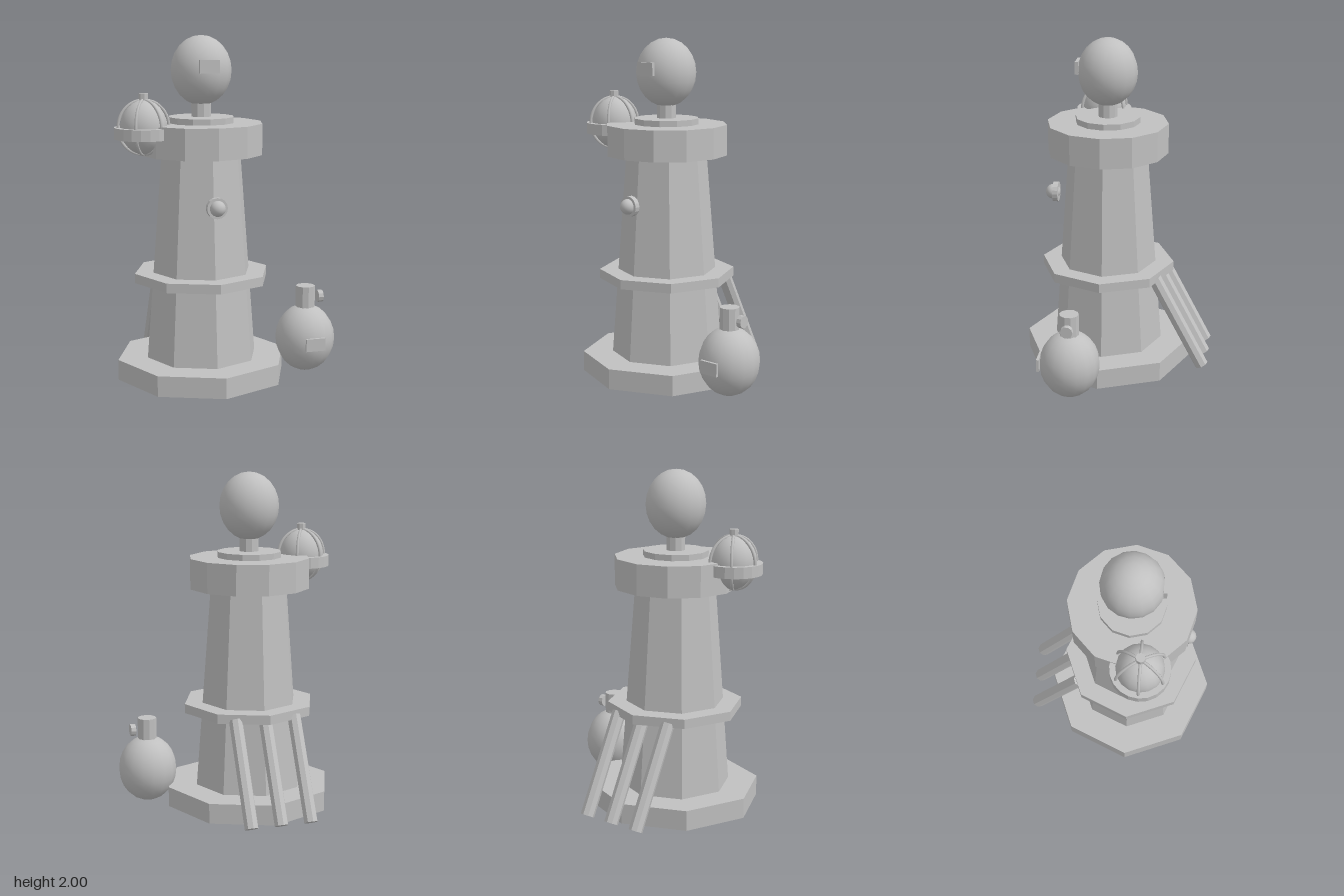
import * as THREE from 'three';

export function createModel() {
  const model = new THREE.Group();
  const stone = new THREE.MeshStandardMaterial({ color: 0xc0c0c0 });
  stone.name = 'pale grey';

  const add = (parent, name, geometry, x, y, z) => {
    const mesh = new THREE.Mesh(geometry, stone);
    mesh.name = name;
    mesh.position.set(x, y, z);
    parent.add(mesh);
    return mesh;
  };
  const group = (name, x, y, z) => {
    const g = new THREE.Group();
    g.name = name;
    g.position.set(x, y, z);
    model.add(g);
    return g;
  };
  // Faceted upright prism between two heights; vertex normals kept per face
  const prism = (parent, name, rTop, rBottom, y0, y1, sides) => {
    const geo = new THREE.CylinderGeometry(rTop, rBottom, y1 - y0, sides).toNonIndexed();
    geo.computeVertexNormals();
    return add(parent, name, geo, 0, (y0 + y1) / 2, 0);
  };
  // Smooth egg-shaped ball
  const ball = (parent, name, r, ry, y) =>
    add(parent, name, new THREE.SphereGeometry(r, 16, 12).scale(1, ry / r, 1), 0, y, 0);

  // Tower: stacked prisms with a corner facing the front
  const tower = group('tower', -0.13, 0, 0.065);
  prism(tower, 'base', 0.507, 0.507, 0, 0.12, 8);
  prism(tower, 'shaft', 0.238, 0.33, 0.12, 1.32, 8);
  prism(tower, 'band', 0.402, 0.402, 0.575, 0.63, 8);
  prism(tower, 'gallery', 0.36, 0.36, 1.32, 1.5, 12);
  prism(tower, 'topDisc', 0.192, 0.192, 1.5, 1.535, 12);
  prism(tower, 'topNeck', 0.057, 0.057, 1.535, 1.63, 10);
  ball(tower, 'topBall', 0.176, 0.2, 1.8);
  add(tower, 'topPlate', new THREE.BoxGeometry(0.118, 0.075, 0.02), 0, 1.828, 0.175);

  // Round lamp in front of the shaft
  const lamp = group('frontLamp', -0.13, 1.05, 0.382);
  const rim = prism(lamp, 'lampRim', 0.06, 0.06, -0.016, 0.016, 16);
  rim.rotation.x = Math.PI / 2;
  add(lamp, 'lampBulb', new THREE.SphereGeometry(0.045, 16, 12), 0, 0, 0.018);

  // Flask standing beside the base
  const flask = group('flask', 0.47, 0, 0.21);
  ball(flask, 'flaskBody', 0.176, 0.2, 0.21);
  prism(flask, 'flaskNeck', 0.057, 0.057, 0.38, 0.525, 10);
  add(flask, 'flaskPlate', new THREE.BoxGeometry(0.118, 0.075, 0.016), 0, 0.21, 0.18);
  const knob = prism(flask, 'flaskKnob', 0.036, 0.036, -0.015, 0.015, 10);
  knob.position.set(0.09, 0.455, 0);
  knob.rotation.z = Math.PI / 2;

  // Caged lantern set into the gallery edge
  const lantern = group('lantern', -0.487, 0, 0.136);
  ball(lantern, 'lanternGlobe', 0.135, 0.155, 1.49);
  prism(lantern, 'lanternRing', 0.168, 0.168, 1.425, 1.49, 20);
  prism(lantern, 'lanternCap', 0.027, 0.027, 1.63, 1.68, 8);
  const arc = [];
  for (let i = 0; i <= 12; i++) {
    const a = (i / 12 - 0.5) * Math.PI * 0.94;
    arc.push(new THREE.Vector3(0.147 * Math.cos(a), 0.154 * Math.sin(a), 0));
  }
  const ribGeo = new THREE.TubeGeometry(new THREE.CatmullRomCurve3(arc), 20, 0.009, 6);
  for (let i = 0; i < 6; i++) {
    add(lantern, 'lanternRib', ribGeo, 0, 1.49, 0).rotation.y = (i * Math.PI) / 3;
  }

  // Three poles leaning against the back of the band
  const poles = group('leaningPoles', 0, 0, 0);
  const foot = new THREE.Vector3(0, 0.032, -0.533);
  const head = new THREE.Vector3(0, 0.592, -0.238);
  const length = foot.distanceTo(head);
  for (const x of [-0.31, -0.13, 0.05]) {
    const pole = prism(poles, 'pole', 0.041, 0.041, 0, length, 8);
    pole.position.set(x, (foot.y + head.y) / 2, (foot.z + head.z) / 2);
    pole.rotation.x = Math.atan2(head.z - foot.z, head.y - foot.y);
  }

  return model;
}
